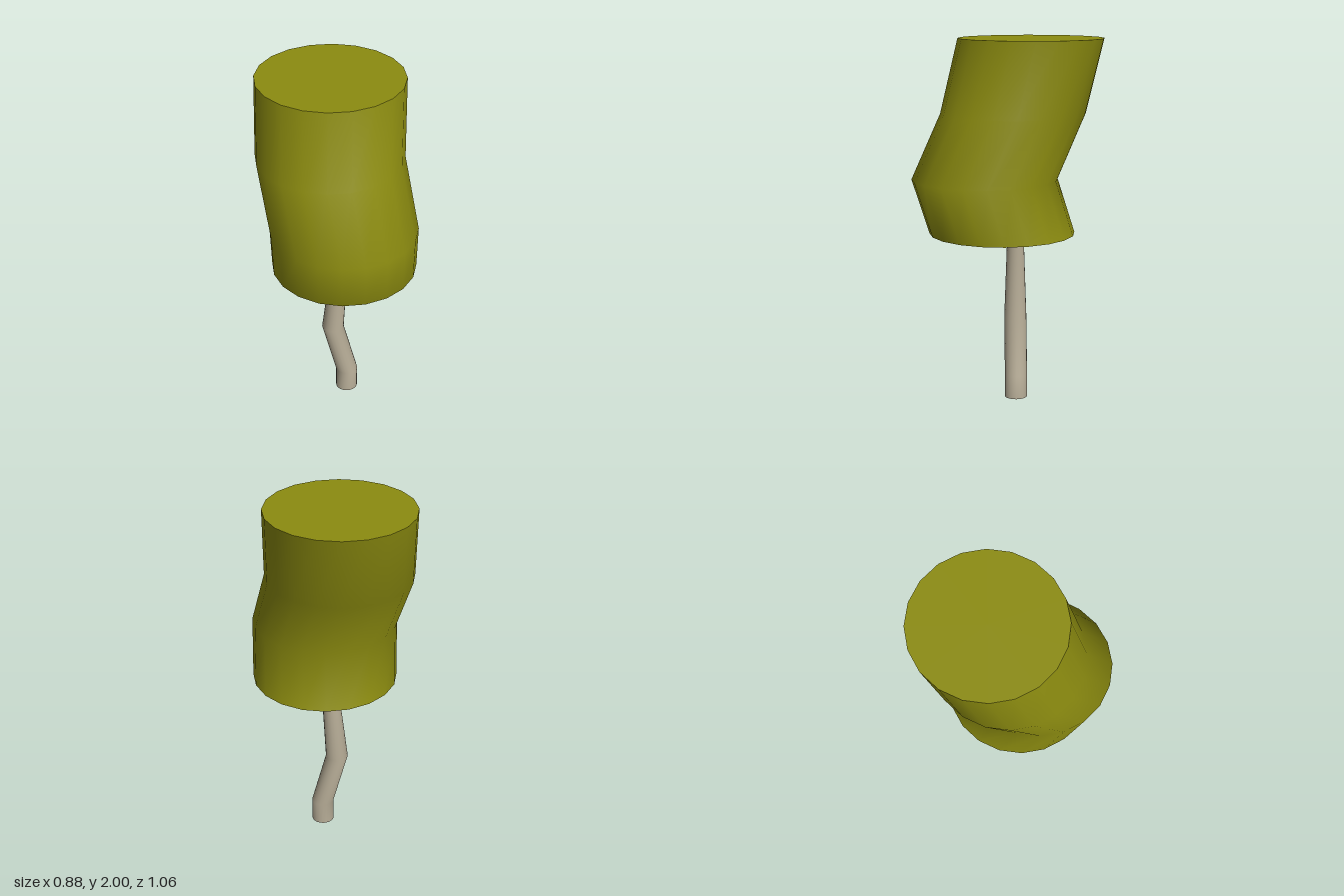
import * as THREE from 'three';
import { mergeVertices } from 'three/addons/utils/BufferGeometryUtils.js';

// A closed cylinder whose horizontal rings follow [x, y, z, radius], bottom to top.
function bentCylinder(name, rings, color) {
  const n = rings.length - 1;
  const base = new THREE.CylinderGeometry(1, 1, n, 20, n);
  base.deleteAttribute('uv');
  const geometry = mergeVertices(base); // joins the side seam, keeps cap edges sharp
  const p = geometry.attributes.position;
  for (let i = 0; i < p.count; i++) {
    const [x, y, z, r] = rings[Math.round(p.getY(i) + n / 2)];
    p.setXYZ(i, x + p.getX(i) * r, y, z + p.getZ(i) * r);
  }
  geometry.computeVertexNormals();
  const mesh = new THREE.Mesh(geometry, new THREE.MeshStandardMaterial({ color }));
  mesh.name = name;
  return mesh;
}

export function createModel() {
  const tree = new THREE.Group();
  tree.name = 'tree';

  // Crooked trunk, tapering towards the crown
  tree.add(bentCylinder('trunk', [
    [0.053, 0, -0.043, 0.0625],
    [0.053, 0.13, -0.043, 0.0625],
    [-0.028, 0.44, -0.043, 0.0625],
    [0.016, 0.94, -0.041, 0.045],
  ], 0xb8ae98));

  // Wide crown of leaves with shifted rings
  tree.add(bentCylinder('crown', [
    [0.038, 0.94, 0.034, 0.4],
    [0.038, 1.24, 0.129, 0.4],
    [-0.041, 1.59, -0.03, 0.4],
    [-0.041, 2, -0.128, 0.4],
  ], 0x8c8c10));

  return tree;
}
